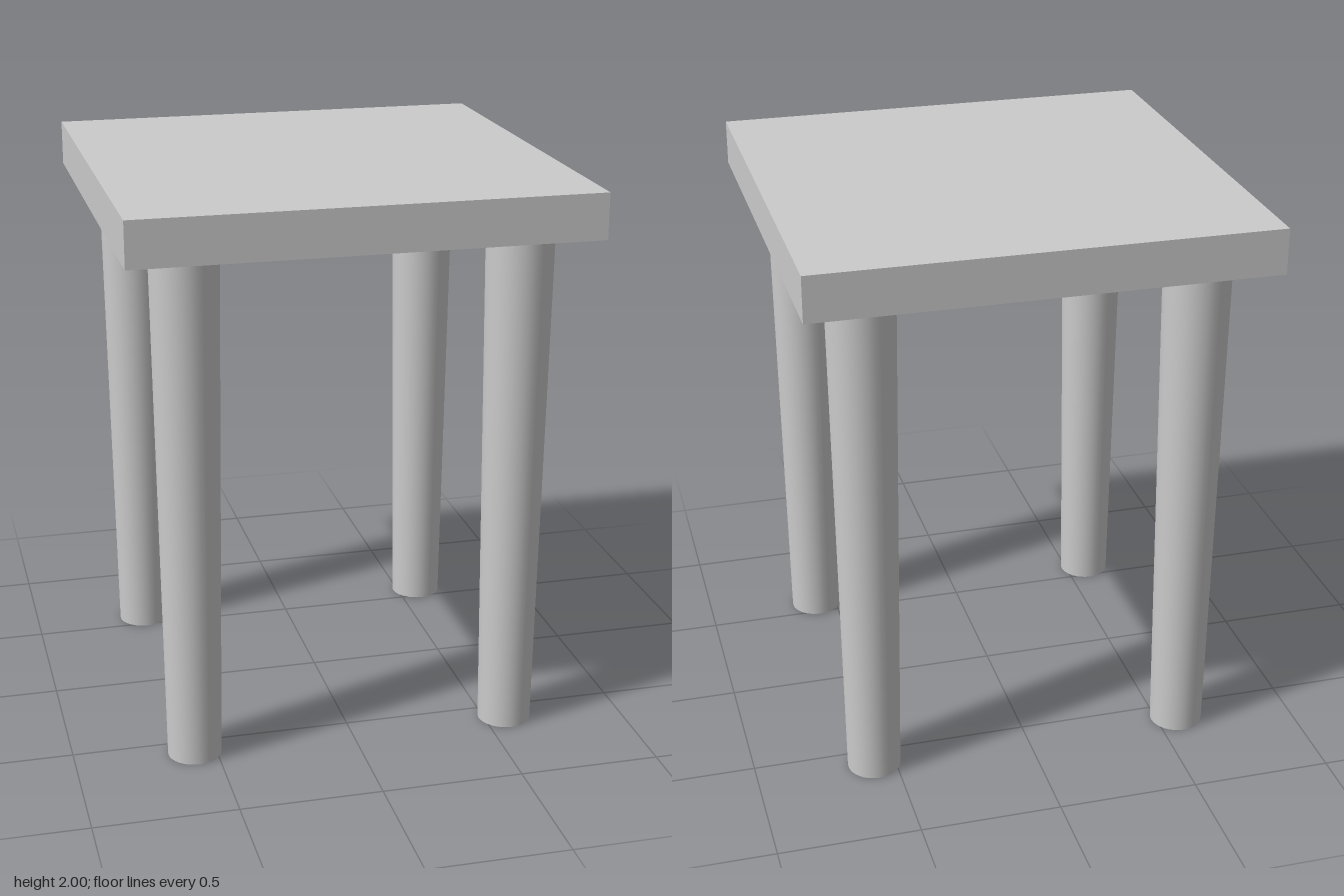
import * as THREE from 'three';

const TOP = 2, HALF = 0.8, THICK = 0.16;
const LEG_HEIGHT = TOP - THICK, LEG_OFFSET = 0.576;

export function createModel() {
  const model = new THREE.Group();
  model.name = 'stool';
  const material = new THREE.MeshStandardMaterial({ color: 0xcccccc });

  // Square slab seat
  const seat = new THREE.Mesh(new THREE.BoxGeometry(HALF * 2, THICK, HALF * 2), material);
  seat.name = 'seat';
  seat.position.y = TOP - THICK / 2;
  model.add(seat);

  // Four round legs, tapering towards the floor
  const legGeometry = new THREE.CylinderGeometry(0.118, 0.095, LEG_HEIGHT, 32);
  for (const [front, sz] of [['front', 1], ['back', -1]]) {
    for (const [side, sx] of [['Left', 1], ['Right', -1]]) {
      const leg = new THREE.Mesh(legGeometry, material);
      leg.name = `${front}${side}Leg`;
      leg.position.set(sx * LEG_OFFSET, LEG_HEIGHT / 2, sz * LEG_OFFSET);
      model.add(leg);
    }
  }
  return model;
}
